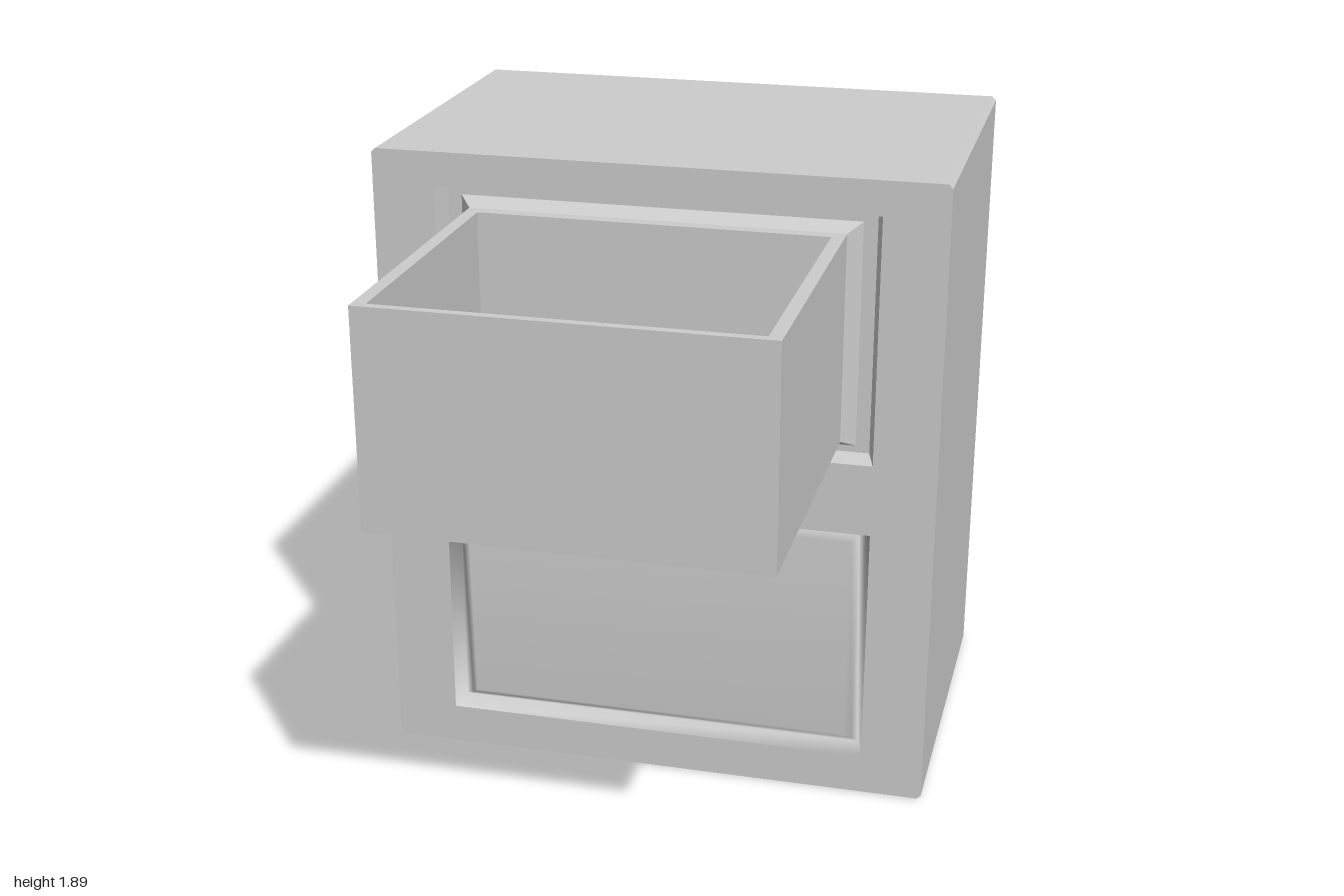
import * as THREE from 'three';

// Rectangular cross-section with chamfered corners, counter-clockwise seen from +z
function ring(hx, y0, y1, z, c = 0) {
  if (!c) return [[-hx, y0, z], [hx, y0, z], [hx, y1, z], [-hx, y1, z]];
  return [[-hx + c, y0, z], [hx - c, y0, z], [hx, y0 + c, z], [hx, y1 - c, z],
    [hx - c, y1, z], [-hx + c, y1, z], [-hx, y1 - c, z], [-hx, y0 + c, z]];
}

// Skin a list of cross-sections; optional fans close the first and last one
function loft(rings, { capStart = false, capEnd = false, smooth = false } = {}) {
  const n = rings[0].length;
  const pos = rings.flat(2);
  const idx = [];
  for (let r = 0; r < rings.length - 1; r++) {
    for (let i = 0; i < n; i++) {
      const j = (i + 1) % n;
      const a = r * n + i, b = r * n + j, c = b + n, d = a + n;
      idx.push(a, b, c, a, c, d);
    }
  }
  const cap = (r, flip) => {
    const centre = [0, 1, 2].map(k => rings[r].reduce((s, p) => s + p[k], 0) / n);
    const m = pos.length / 3;
    pos.push(...centre);
    for (let i = 0; i < n; i++) {
      const a = r * n + i, b = r * n + (i + 1) % n;
      idx.push(m, flip ? b : a, flip ? a : b);
    }
  };
  if (capStart) cap(0, true);
  if (capEnd) cap(rings.length - 1, false);
  let geo = new THREE.BufferGeometry();
  geo.setAttribute('position', new THREE.Float32BufferAttribute(pos, 3));
  geo.setIndex(idx);
  if (!smooth) geo = geo.toNonIndexed();
  geo.computeVertexNormals();
  return geo;
}

export function createModel() {
  const group = new THREE.Group();
  const material = new THREE.MeshStandardMaterial({ color: 0xcccccc });
  const add = (name, geo) => {
    const mesh = new THREE.Mesh(geo, material);
    mesh.name = name;
    group.add(mesh);
    return mesh;
  };

  const W = 0.825, H = 1.89, BACK = -1, FRONT = 0.1, FLOOR = 0.04, C = 0.012;
  const upper = [1.06, 1.79], lower = [0.12, 0.845];

  // Cabinet body with softened back and long edges
  add('cabinetBody', loft([
    ring(W - C, C, H - C, BACK, C),
    ring(W, 0, H, BACK + C, C),
    ring(W, 0, H, FRONT, C),
  ], { capStart: true }));

  // Front face with an opening for each drawer
  const toPath = (P, pts) => new P(pts.map(p => new THREE.Vector2(p[0], p[1])));
  const face = toPath(THREE.Shape, ring(W, 0, H, 0, C));
  for (const [y0, y1] of [upper, lower]) {
    face.holes.push(toPath(THREE.Path, ring(0.64, y0, y1, 0).reverse()));
  }
  add('cabinetFront', new THREE.ShapeGeometry(face).translate(0, 0, FRONT));

  // Sloped recess, flat groove and raised collar around each drawer
  const surround = ([y0, y1]) => [
    ring(0.64, y0, y1, FRONT),
    ring(0.62, y0 + 0.015, y1 - 0.015, FLOOR),
    ring(0.58, y0 + 0.035, y1 - 0.035, FLOOR),
    ring(0.542, y0 + 0.06, y1 - 0.06, 0.085),
  ];
  add('upperDrawerSurround', loft(surround(upper)));

  // Closed lower drawer, softly shaded
  const [y0, y1] = lower;
  add('lowerDrawerFront', loft([
    ring(0.64, y0, y1, FRONT),
    ring(0.62, y0 + 0.018, y1 - 0.018, FLOOR),
    ring(0.6, y0 + 0.025, y1 - 0.025, FLOOR),
    ring(0.58, y0 + 0.045, y1 - 0.045, 0.06),
  ], { capEnd: true, smooth: true }));

  // Open upper drawer, skinned upward outside and back down inside
  const drawer = add('openDrawer', loft([
    ring(0.542, -1, -0.05, 1.12),
    ring(0.542, -1, -0.05, 1.73),
    ring(0.505, -0.975, -0.125, 1.73),
    ring(0.505, -0.975, -0.125, 1.27),
    ring(0.492, -0.962, -0.138, 1.245),
  ], { capStart: true, capEnd: true }));
  drawer.geometry.rotateX(-Math.PI / 2);

  return group;
}
